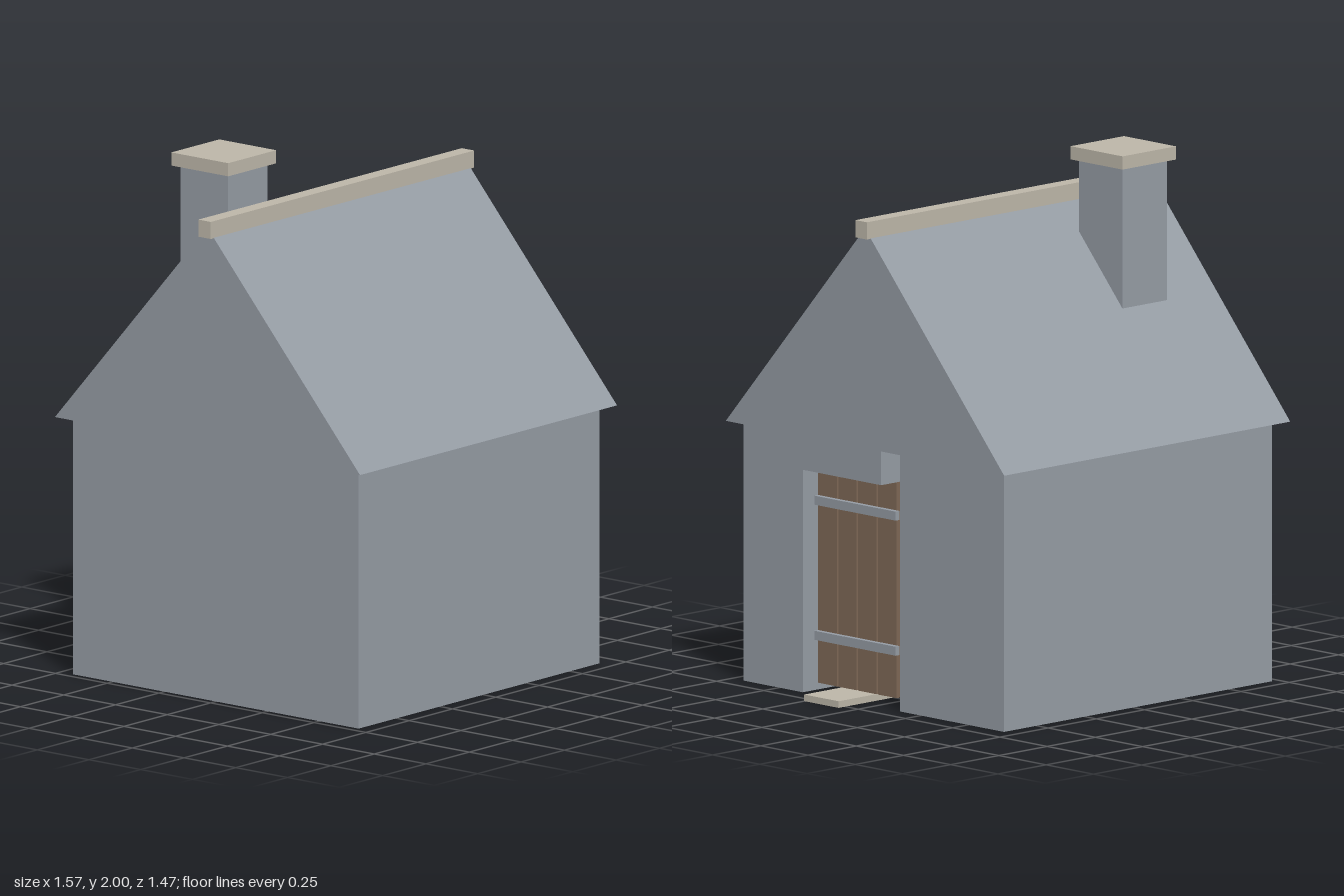
import * as THREE from 'three';

const material = (name, color) => {
  const m = new THREE.MeshStandardMaterial({ color });
  m.name = name;
  return m;
};

export function createModel() {
  const house = new THREE.Group();
  house.name = 'cottage';
  const stone = material('grey stone', 0x959ca4);
  const trim = material('pale stone', 0xbdb7a9);
  const wood = material('brown wood', 0x7e6856);

  const add = (name, geometry, mat) => {
    const mesh = new THREE.Mesh(geometry, mat);
    mesh.name = name;
    house.add(mesh);
    return mesh;
  };
  // Box given by its lower and upper limits on each axis
  const box = (name, mat, x0, x1, y0, y1, z0, z1) =>
    add(name, new THREE.BoxGeometry(x1 - x0, y1 - y0, z1 - z0), mat)
      .position.set((x0 + x1) / 2, (y0 + y1) / 2, (z0 + z1) / 2);
  const shape = (points) => new THREE.Shape(points.map(([a, b]) => new THREE.Vector2(a, b)));

  // Hollow walls: a C-shaped floor plan (x, -z) with a doorway in the +x side
  const [left, right, side, t] = [-0.72, 0.67, 0.69, 0.17];
  const [doorNear, doorFar] = [0.375, -0.14];
  const plan = shape([
    [right, -doorNear], [right - t, -doorNear], [right - t, -side + t], [left + t, -side + t],
    [left + t, side - t], [right - t, side - t], [right - t, -doorFar], [right, -doorFar],
    [right, side], [left, side], [left, -side], [right, -side],
  ]);
  const walls = new THREE.ExtrudeGeometry(plan, { depth: 0.98, bevelEnabled: false });
  walls.rotateX(-Math.PI / 2);
  add('walls', walls, stone);
  box('lintel', stone, right - t, right, 0.84, 0.98, -0.04, doorNear);

  // Gabled roof: the (-z, y) section pushed along x
  const gable = shape([[-0.737, 0.98], [0.737, 0.98], [0.027, 1.78], [-0.027, 1.78]]);
  const roof = new THREE.ExtrudeGeometry(gable, { depth: 1.483, bevelEnabled: false });
  roof.rotateY(Math.PI / 2);
  roof.translate(-0.768, 0, 0);
  add('roof', roof, stone);
  box('ridgeBeam', trim, -0.785, 0.735, 1.775, 1.84, -0.03, 0.03);

  // Chimney
  box('chimneyStack', stone, -0.51, -0.28, 1.3, 1.95, -0.347, -0.118);
  box('chimneyCap', trim, -0.535, -0.258, 1.95, 2, -0.37, -0.095);

  // Door of four planks with two cross bands
  const pitch = 0.415 / 4;
  for (let i = 0; i < 4; i++) {
    const z = -0.04 + i * pitch;
    box('doorPlank', wood, 0.55, 0.59, 0.025, 0.84, z + (i ? 0.004 : 0), z + pitch - (i < 3 ? 0.004 : 0));
  }
  for (const y of [0.19, 0.7]) box('doorBand', stone, 0.59, 0.61, y, y + 0.034, -0.055, 0.375);

  // Doorstep
  box('doorstep', trim, 0.37, 0.785, 0, 0.025, 0.068, 0.25);
  return house;
}
